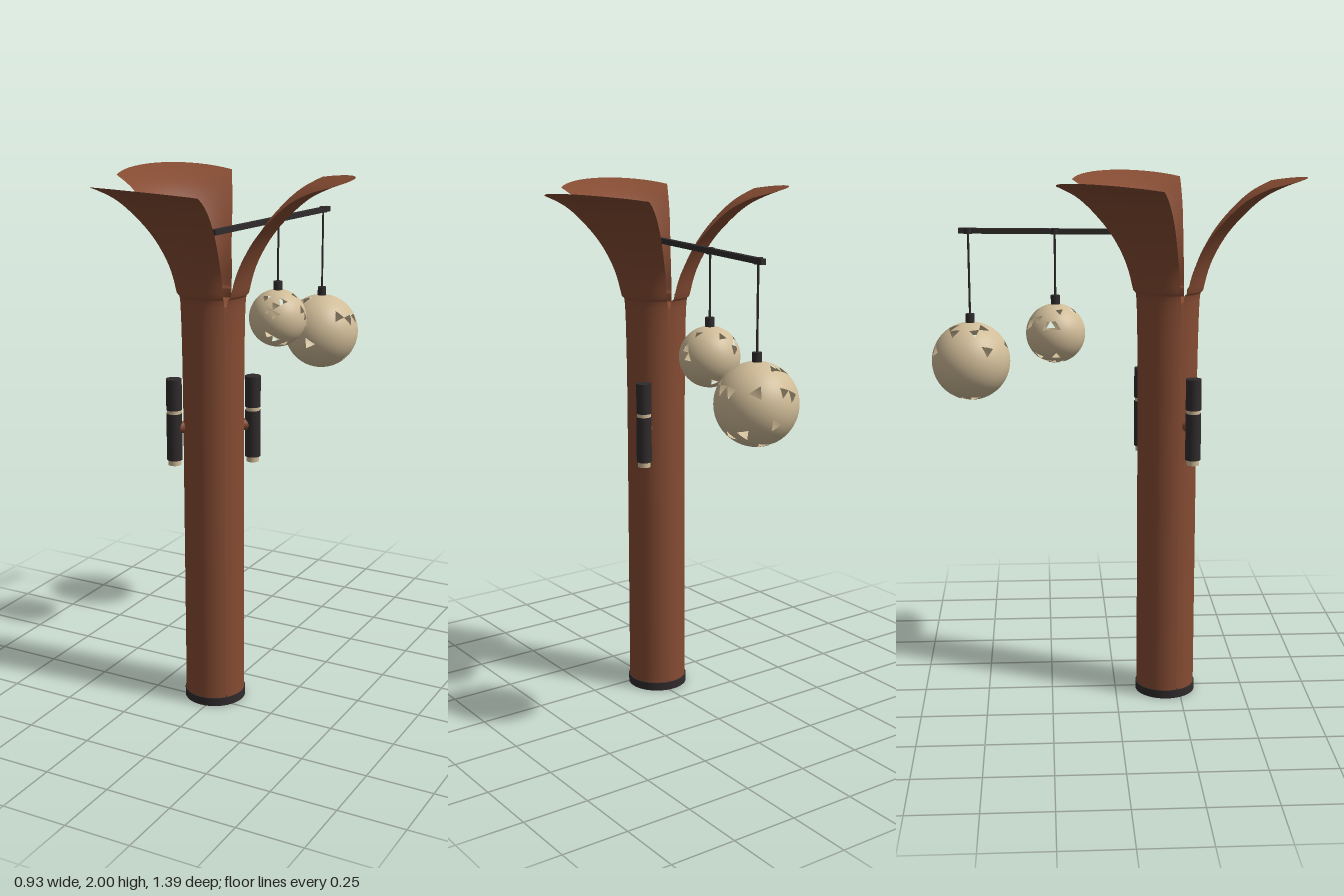
import * as THREE from 'three';

const mat = (name, color, side = THREE.FrontSide) => {
  const m = new THREE.MeshStandardMaterial({ color, side });
  m.name = name;
  return m;
};

// Petal outline: x = radius, y = height, z = half angle in degrees
const profile = [
  [0.112, 0.03, 58.8], [0.112, 0.7, 58.8], [0.112, 1.2, 58.8], [0.114, 1.42, 58.5],
  [0.133, 1.6, 53], [0.19, 1.755, 43.5], [0.265, 1.855, 38], [0.355, 1.935, 34],
  [0.43, 1.973, 32], [0.502, 2.0, 30.5],
].map(p => new THREE.Vector3(...p));

// One third of the trunk, flaring into a leaf with a rounded tip
function petalGeometry(centerDeg) {
  const curve = new THREE.CatmullRomCurve3(profile, false, 'centripetal');
  const cols = 16, rows = 60, pos = [], idx = [];
  for (let j = 0; j <= rows; j++) {
    for (let i = 0; i <= cols; i++) {
      const u = (i / cols) * 2 - 1, t = j / rows;
      const p = curve.getPoint(t * (1 - 0.1 * u * u * t ** 6));
      const a = THREE.MathUtils.degToRad(centerDeg + u * p.z);
      pos.push(p.x * Math.cos(a), Math.min(p.y, 2), p.x * Math.sin(a));
      if (i < cols && j < rows) {
        const k = j * (cols + 1) + i, up = k + cols + 1;
        idx.push(k, up, k + 1, up, up + 1, k + 1);
      }
    }
  }
  const g = new THREE.BufferGeometry();
  g.setAttribute('position', new THREE.Float32BufferAttribute(pos, 3));
  g.setIndex(idx);
  g.computeVertexNormals();
  return g;
}

// Hollow globe with scattered triangular cut-outs
function globeGeometry(radius, seed) {
  let s = seed;
  const rand = () => (s = (s * 16807) % 2147483647) / 2147483647;
  const src = new THREE.IcosahedronGeometry(1, 3).toNonIndexed().attributes.position;
  const pos = [], nor = [];
  const split = (a, b, c, n) => {
    if (n === 0) {
      for (const v of [a, b, c]) {
        pos.push(v.x * radius, v.y * radius, v.z * radius);
        nor.push(v.x, v.y, v.z);
      }
      return;
    }
    const mid = (p, q) => p.clone().add(q).normalize();
    const ab = mid(a, b), bc = mid(b, c), ca = mid(c, a);
    split(a, ab, ca, n - 1);
    split(ab, b, bc, n - 1);
    split(ca, bc, c, n - 1);
    split(ab, bc, ca, n - 1);
  };
  for (let i = 0; i < src.count; i += 3) {
    const [a, b, c] = [0, 1, 2].map(k => new THREE.Vector3().fromBufferAttribute(src, i + k).normalize());
    const y = (a.y + b.y + c.y) / 3;
    const chance = y < -0.6 ? 0.14 : y > 0.3 && y < 0.9 ? 0.09 : 0.02;
    if (rand() > chance) split(a, b, c, 2);
  }
  const g = new THREE.BufferGeometry();
  g.setAttribute('position', new THREE.Float32BufferAttribute(pos, 3));
  g.setAttribute('normal', new THREE.Float32BufferAttribute(nor, 3));
  return g;
}

export function createModel() {
  const model = new THREE.Group();
  model.name = 'petalLampPost';

  const brown = mat('rustBrown', 0x864c33);
  const brownSheet = mat('rustBrownSheet', 0x864c33, THREE.DoubleSide);
  const dark = mat('charcoal', 0x302b2c);
  const cream = mat('cream', 0xd0bc98);
  const creamShell = mat('creamShell', 0xd0bc98, THREE.DoubleSide);

  const add = (parent, name, geometry, material, x = 0, y = 0, z = 0) => {
    const m = new THREE.Mesh(geometry, material);
    m.name = name;
    m.position.set(x, y, z);
    parent.add(m);
    return m;
  };
  // Upright cylinder between two heights
  const rod = (parent, name, material, r, y0, y1, x = 0, z = 0, sides = 24) =>
    add(parent, name, new THREE.CylinderGeometry(r, r, y1 - y0, sides), material, x, (y0 + y1) / 2, z);

  // Trunk
  const trunk = new THREE.Group();
  trunk.name = 'trunk';
  trunk.position.set(-0.02, 0, 0.196);
  model.add(trunk);
  rod(trunk, 'base', dark, 0.116, 0, 0.032, 0, 0, 48);
  rod(trunk, 'core', brown, 0.101, 0.03, 1.55, 0, 0, 48);
  [-21, 99, 219].forEach(a => add(trunk, 'petal', petalGeometry(a), brownSheet));

  // Spotlights on opposite sides of the trunk
  for (const deg of [143, -37]) {
    const light = new THREE.Group();
    light.name = 'spotlight';
    light.rotation.y = -THREE.MathUtils.degToRad(deg);
    trunk.add(light);
    const x = 0.146;
    rod(light, 'upperHousing', dark, 0.029, 1.156, 1.272, x);
    rod(light, 'glowBand', cream, 0.026, 1.142, 1.156, x);
    rod(light, 'lowerHousing', dark, 0.029, 0.965, 1.142, x);
    rod(light, 'lens', cream, 0.024, 0.945, 0.965, x);
    const bracket = rod(light, 'bracket', brown, 0.022, 1.068, 1.108, 0.12);
    bracket.rotation.z = Math.PI / 2;
  }

  // Arm carrying the globes
  const start = new THREE.Vector3(-0.02, 1.8, 0.192), end = new THREE.Vector3(0.076, 1.8, -0.578);
  const arm = add(model, 'arm', new THREE.BoxGeometry(0.02, 0.02, start.distanceTo(end)), dark);
  arm.position.copy(start).add(end).multiplyScalar(0.5);
  arm.lookAt(end);

  // Hanging globes
  const globes = [
    { x: 0.032, y: 1.42, z: -0.222, r: 0.111, seed: 4211 },
    { x: 0.07, y: 1.31, z: -0.543, r: 0.148, seed: 9173 },
  ];
  for (const { x, y, z, r, seed } of globes) {
    const lamp = new THREE.Group();
    lamp.name = 'hangingLamp';
    lamp.position.set(x, 0, z);
    model.add(lamp);
    add(lamp, 'globe', globeGeometry(r, seed), creamShell, 0, y, 0);
    rod(lamp, 'socket', dark, 0.017, y + r - 0.003, y + r + 0.032);
    rod(lamp, 'cord', dark, 0.004, y + r, 1.8, 0, 0, 8);
    rod(lamp, 'clamp', dark, 0.016, 1.789, 1.811);
  }
  return model;
}
